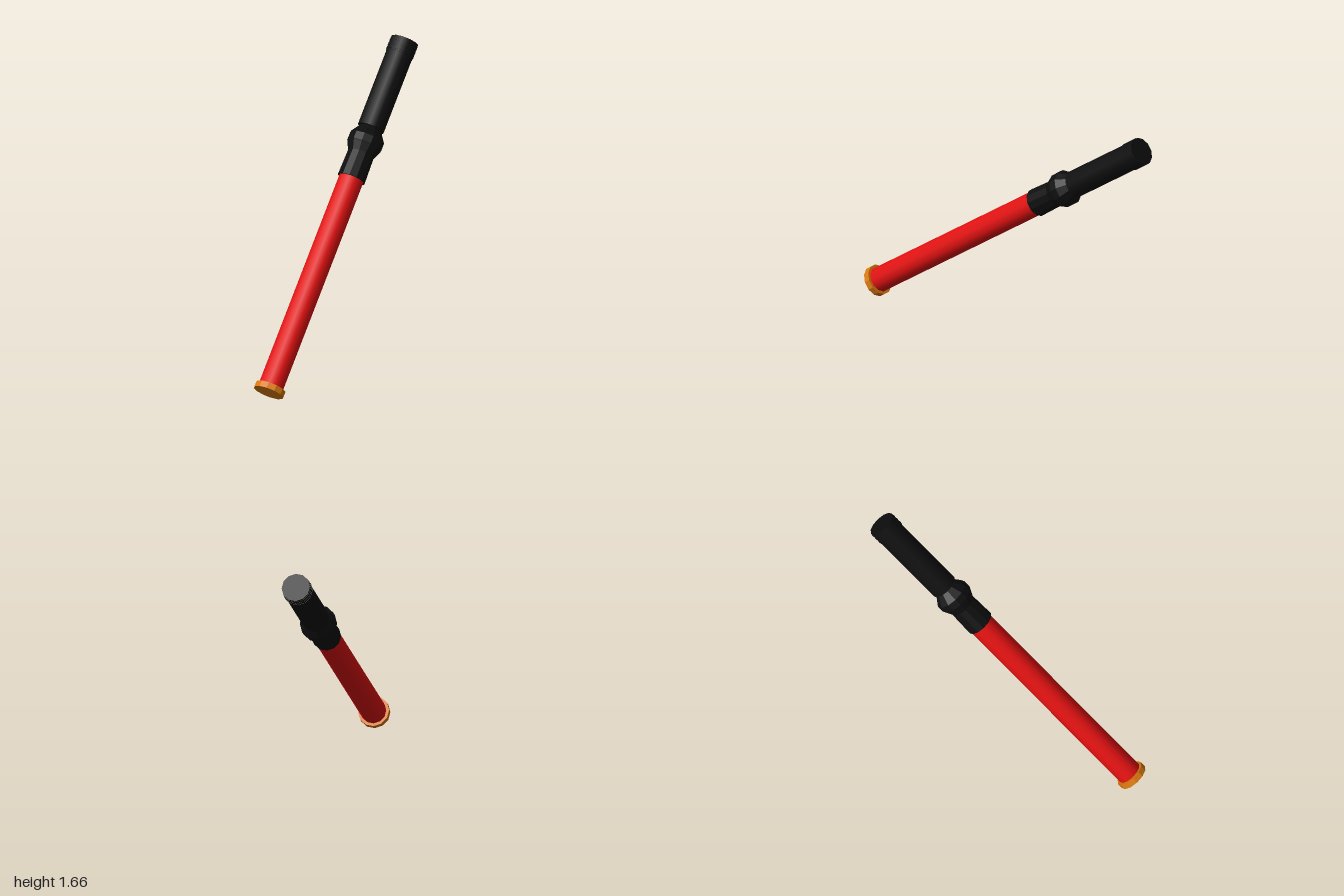
import * as THREE from 'three';

const SIDES = 12;

export function createModel() {
  const group = new THREE.Group();
  const baton = new THREE.Group();
  baton.name = 'baton';
  group.add(baton);

  const black = new THREE.MeshStandardMaterial({ color: 0x0e0e0e });
  const blackFlat = new THREE.MeshStandardMaterial({ color: 0x0e0e0e, flatShading: true });
  const red = new THREE.MeshStandardMaterial({ color: 0xe01010 });
  const orange = new THREE.MeshStandardMaterial({ color: 0xd9780f, flatShading: true });

  // Closed cylinder or cone between two distances along the baton
  function section(name, from, to, r0, r1, material) {
    const geometry = new THREE.CylinderGeometry(r1, r0, to - from, SIDES);
    geometry.translate(0, (from + to) / 2, 0);
    const mesh = new THREE.Mesh(geometry, material);
    mesh.name = name;
    baton.add(mesh);
  }

  // Lit shaft and its tip
  section('tipCap', 0, 0.04, 0.102, 0.102, orange);
  section('shaft', 0.035, 1.54, 0.083, 0.083, red);

  // Collar and faceted guard
  section('collar', 1.525, 1.74, 0.094, 0.088, blackFlat);
  const guardProfile = [[0, 1.7], [0.088, 1.7], [0.113, 1.755], [0.118, 1.765],
    [0.118, 1.815], [0.065, 1.895], [0, 1.895]].map(([r, y]) => new THREE.Vector2(r, y));
  const guard = new THREE.Mesh(new THREE.LatheGeometry(guardProfile, SIDES), blackFlat);
  guard.name = 'guard';
  baton.add(guard);

  // Handle with a ringed end cap
  section('handle', 1.885, 2.42, 0.09, 0.09, black);
  section('endCap', 2.41, 2.51, 0.093, 0.093, black);
  for (let i = 0; i < 3; i++) {
    section('gripRing', 2.42 + i * 0.03, 2.435 + i * 0.03, 0.095, 0.095, black);
  }

  // Lean the whole baton from its low front tip to its high rear end
  const tip = new THREE.Vector3(0.36, 0.085, 0.932);
  const end = new THREE.Vector3(-0.368, 1.583, -0.938);
  baton.position.copy(tip);
  baton.quaternion.setFromUnitVectors(new THREE.Vector3(0, 1, 0), end.sub(tip).normalize());
  return group;
}
